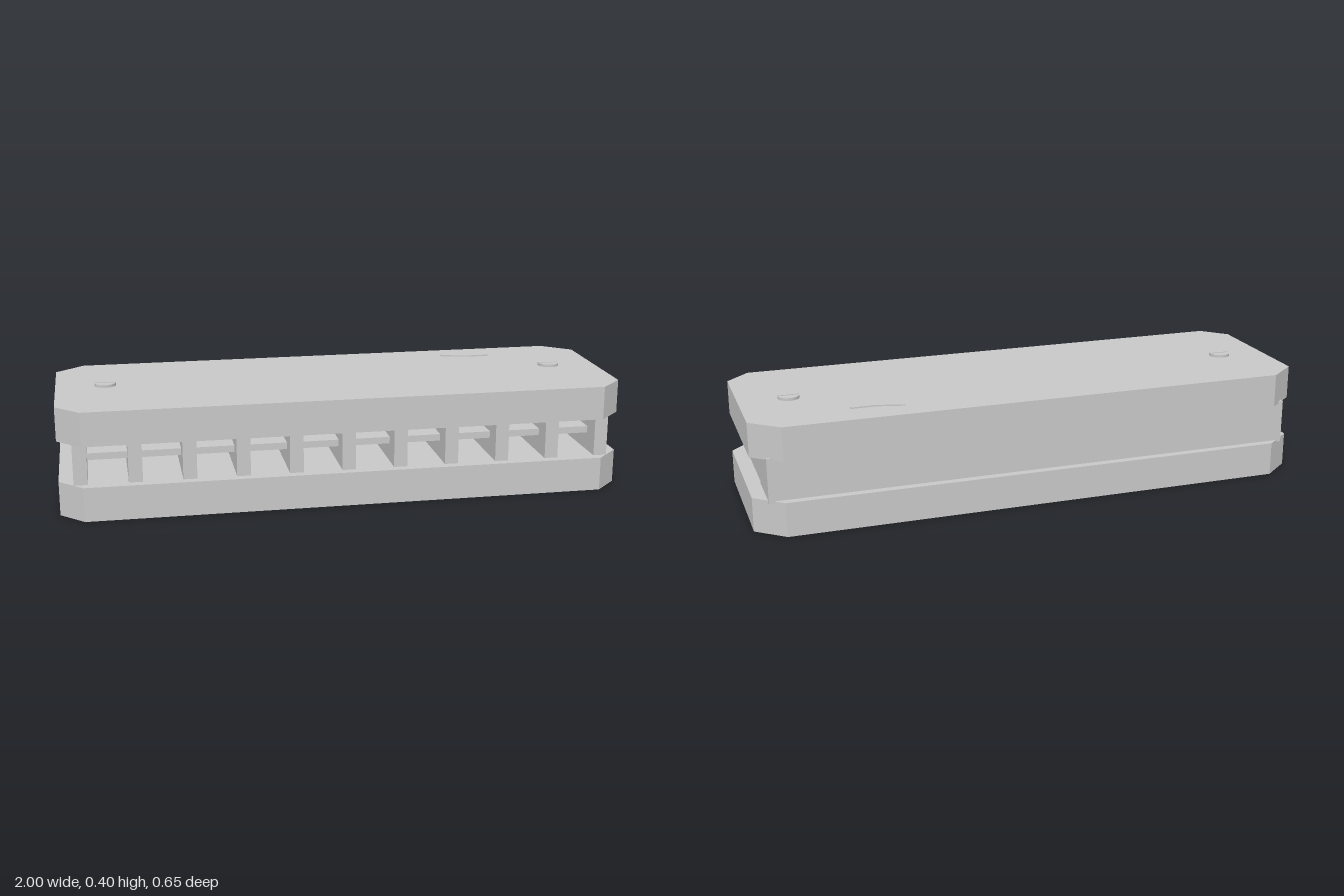
import * as THREE from 'three';

export function createModel() {
  const group = new THREE.Group();
  const metal = new THREE.MeshStandardMaterial({ color: 0xc8c8c8 });
  metal.name = 'plain grey';

  const add = (name, geometry, x = 0, y = 0, z = 0) => {
    const mesh = new THREE.Mesh(geometry, metal);
    mesh.name = name;
    mesh.position.set(x, y, z);
    group.add(mesh);
    return mesh;
  };
  // Box given by its limits on each axis
  const block = (name, x0, x1, y0, y1, z0, z1) =>
    add(name, new THREE.BoxGeometry(x1 - x0, y1 - y0, z1 - z0),
      (x0 + x1) / 2, (y0 + y1) / 2, (z0 + z1) / 2);
  // Outline of [x, z] points raised from y0 by height h
  const slab = (name, points, y0, h, x = 0, z = 0) => {
    const shape = new THREE.Shape(points.map(([px, pz]) => new THREE.Vector2(px, -pz)));
    const geometry = new THREE.ExtrudeGeometry(shape, { depth: h, bevelEnabled: false });
    geometry.rotateX(-Math.PI / 2);
    return add(name, geometry, x, y0, z);
  };

  // Cover plates with clipped corners
  const outline = [
    [-0.917, 0.325], [0.917, 0.325], [1, 0.242], [1, -0.242],
    [0.9, -0.325], [-0.9, -0.325], [-1, -0.242], [-1, 0.242],
  ];
  slab('bottomCover', outline, 0, 0.121);
  slab('topCover', outline, 0.265, 0.12);

  // Solid rear body and the comb of dividers in front of it
  const low = 0.114, high = 0.272, step = -0.117;
  block('rearBody', -0.952, 0.952, low, high, -0.297, step);
  const cells = 10, pitch = 0.185, half = 0.024;
  for (let i = 0; i <= cells; i++) {
    const x = -0.925 + i * pitch;
    block('combDivider', x - half, x + half, low, high, step, 0.293);
  }
  // Shelf splitting each mouth hole into two
  block('reedShelf', -0.925, 0.925, 0.186, 0.21, step, 0.22);

  // Slotted screws
  for (const x of [-0.825, 0.825]) {
    add('screwBase', new THREE.CylinderGeometry(0.038, 0.038, 0.006, 32), x, 0.387, -0.02);
    for (const side of [-1, 1]) {
      const cap = [];
      for (let i = 0; i <= 16; i++) {
        const a = 0.1 + (i / 16) * (Math.PI - 0.2);
        cap.push([0.038 * Math.cos(a), side * 0.038 * Math.sin(a)]);
      }
      slab('screwHead', cap, 0.389, 0.006, x, -0.02);
    }
  }

  // Thin bent mark on the top cover
  slab('topMark', [
    [0.465, -0.236], [0.56, -0.212], [0.648, -0.212],
    [0.648, -0.202], [0.56, -0.201], [0.465, -0.224],
  ], 0.384, 0.006);

  return group;
}
